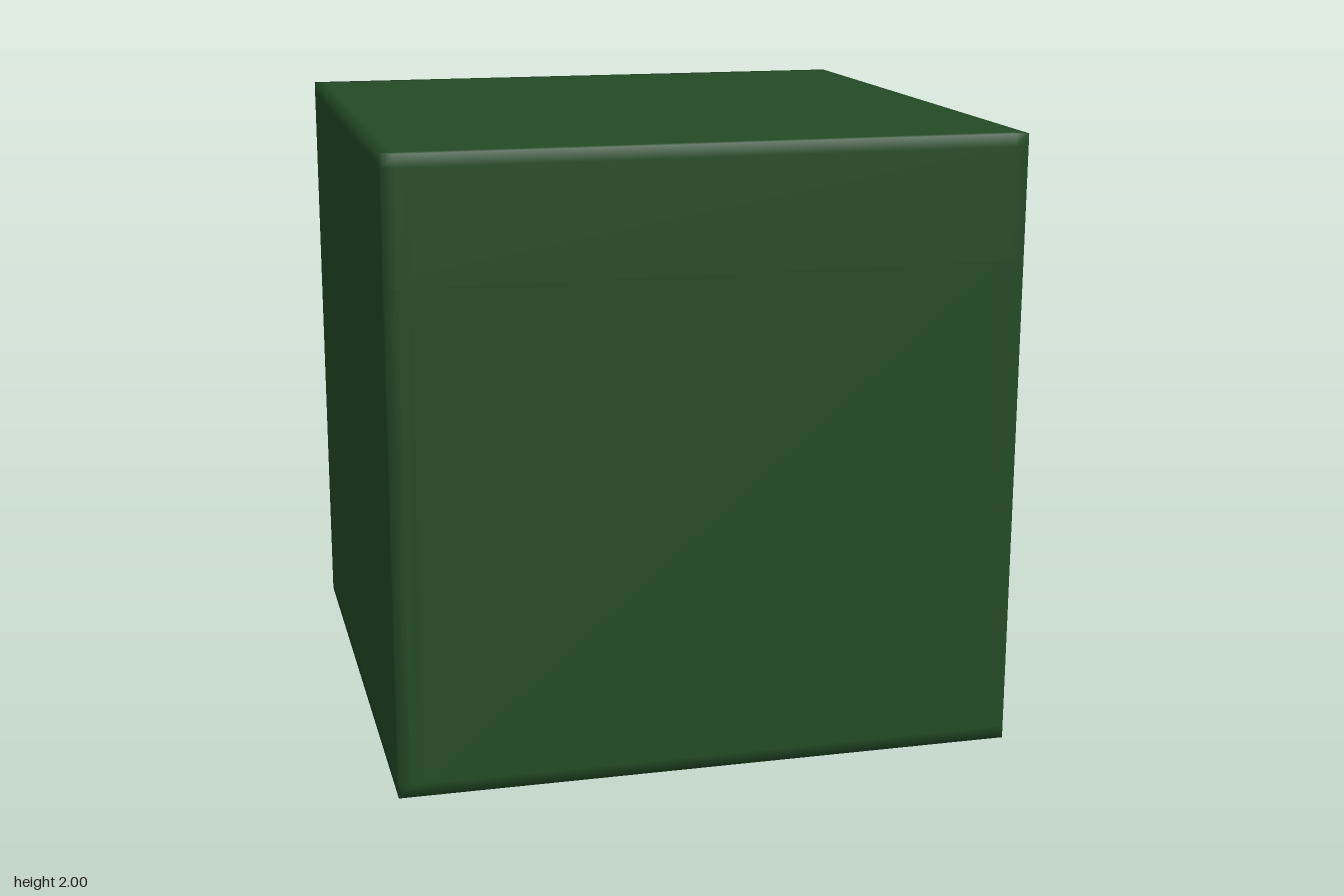
import * as THREE from 'three';
import { mergeVertices } from 'three/addons/utils/BufferGeometryUtils.js';

// Grid lines of the block; the close pairs are support loops that soften the edges
const GRID = [
  [-1, -0.96, -0.92, 0.92, 0.96, 1],
  [0, 0.04, 1.605, 1.645, 1.96, 2],
  [-1, -0.96, -0.67, -0.63, 0.63, 0.67, 0.96, 1],
];

const middle = (cell) => cell.map((i, axis) => (GRID[axis][i] + GRID[axis][i + 1]) / 2);
const inGrid = (cell) => cell.every((i, axis) => i >= 0 && i < GRID[axis].length - 1);

// The cavity is open to the +x side and to the bottom
function isSolid(cell) {
  if (!inGrid(cell)) return false;
  const [x, y, z] = middle(cell);
  return !(x > -0.92 && y < 1.605 && Math.abs(z) < 0.63);
}

// The dark lining starts a little way in from the opening's rim
function isLining(emptyCell) {
  if (!inGrid(emptyCell)) return false;
  const [x, y] = middle(emptyCell);
  return x < 0.92 && y > 0.04;
}

// Collects the faces between solid and empty cells, for the shell or the lining
function skin(lining) {
  const positions = [];
  for (let i = 0; i < GRID[0].length - 1; i++)
    for (let j = 0; j < GRID[1].length - 1; j++)
      for (let k = 0; k < GRID[2].length - 1; k++) {
        const cell = [i, j, k];
        if (!isSolid(cell)) continue;
        for (let a = 0; a < 3; a++)
          for (const side of [0, 1]) {
            const next = cell.slice();
            next[a] += side ? 1 : -1;
            if (isSolid(next) || isLining(next) !== lining) continue;
            const u = (a + 1) % 3, v = (a + 2) % 3;
            const corner = (du, dv) => {
              const p = [0, 0, 0];
              p[a] = GRID[a][cell[a] + side];
              p[u] = GRID[u][cell[u] + du];
              p[v] = GRID[v][cell[v] + dv];
              return p;
            };
            const q = [corner(0, 0), corner(1, 0), corner(1, 1), corner(0, 1)];
            if (!side) q.reverse();
            for (const n of [0, 1, 2, 0, 2, 3]) positions.push(...q[n]);
          }
      }
  const geometry = new THREE.BufferGeometry();
  geometry.setAttribute('position', new THREE.Float32BufferAttribute(positions, 3));
  const welded = mergeVertices(geometry);
  welded.computeVertexNormals();
  return welded;
}

export function createModel() {
  const group = new THREE.Group();
  group.name = 'hollowBlock';
  const add = (name, lining, color) => {
    const mesh = new THREE.Mesh(skin(lining), new THREE.MeshStandardMaterial({ color }));
    mesh.name = name;
    group.add(mesh);
  };
  add('outerShell', false, 0x244b26);
  add('cavityLining', true, 0x0a0a0a);
  return group;
}
